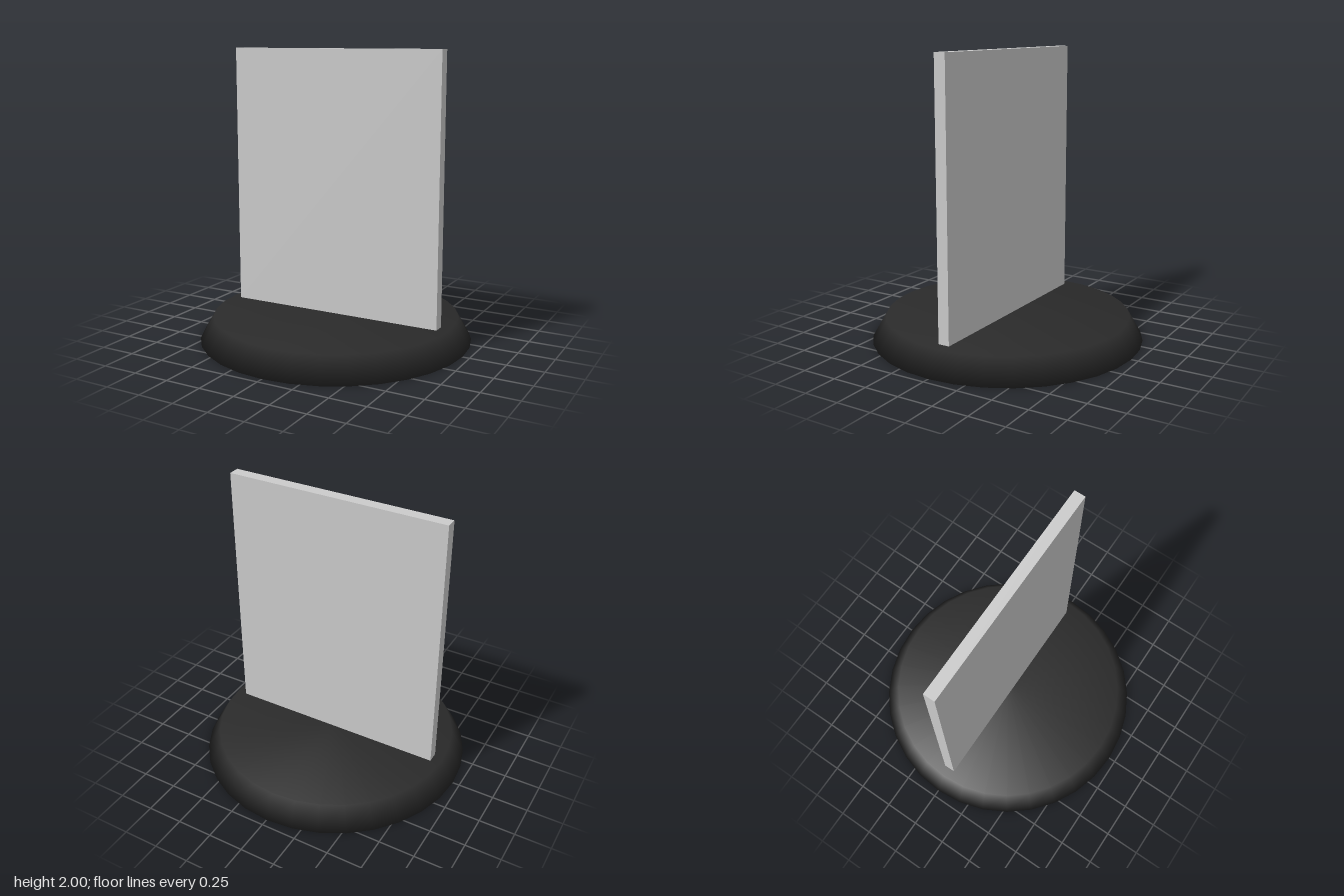
import * as THREE from 'three';
import { mergeVertices } from 'three/addons/utils/BufferGeometryUtils.js';

const BASE_HEIGHT = 0.165;

// Tapered disc whose caps and side share one smooth shading
function smoothDisc(topRadius, bottomRadius, height, sides) {
  let geometry = new THREE.CylinderGeometry(topRadius, bottomRadius, height, sides);
  geometry.deleteAttribute('normal');
  geometry.deleteAttribute('uv');
  geometry = mergeVertices(geometry);
  geometry.computeVertexNormals();
  return geometry;
}

export function createModel() {
  const group = new THREE.Group();
  group.name = 'signStand';

  // Round dark foot
  const base = new THREE.Mesh(
    smoothDisc(0.855, 0.95, BASE_HEIGHT, 32),
    new THREE.MeshStandardMaterial({ color: 0x2a2a2a })
  );
  base.name = 'base';
  base.position.y = BASE_HEIGHT / 2;
  group.add(base);

  // Upright flat panel standing on the foot
  const panelHeight = 2 - BASE_HEIGHT;
  const panel = new THREE.Mesh(
    new THREE.BoxGeometry(1.565, panelHeight, 0.08),
    new THREE.MeshStandardMaterial({ color: 0xcccccc })
  );
  panel.name = 'panel';
  panel.position.set(-0.003, BASE_HEIGHT + panelHeight / 2, 0);
  group.add(panel);

  return group;
}
